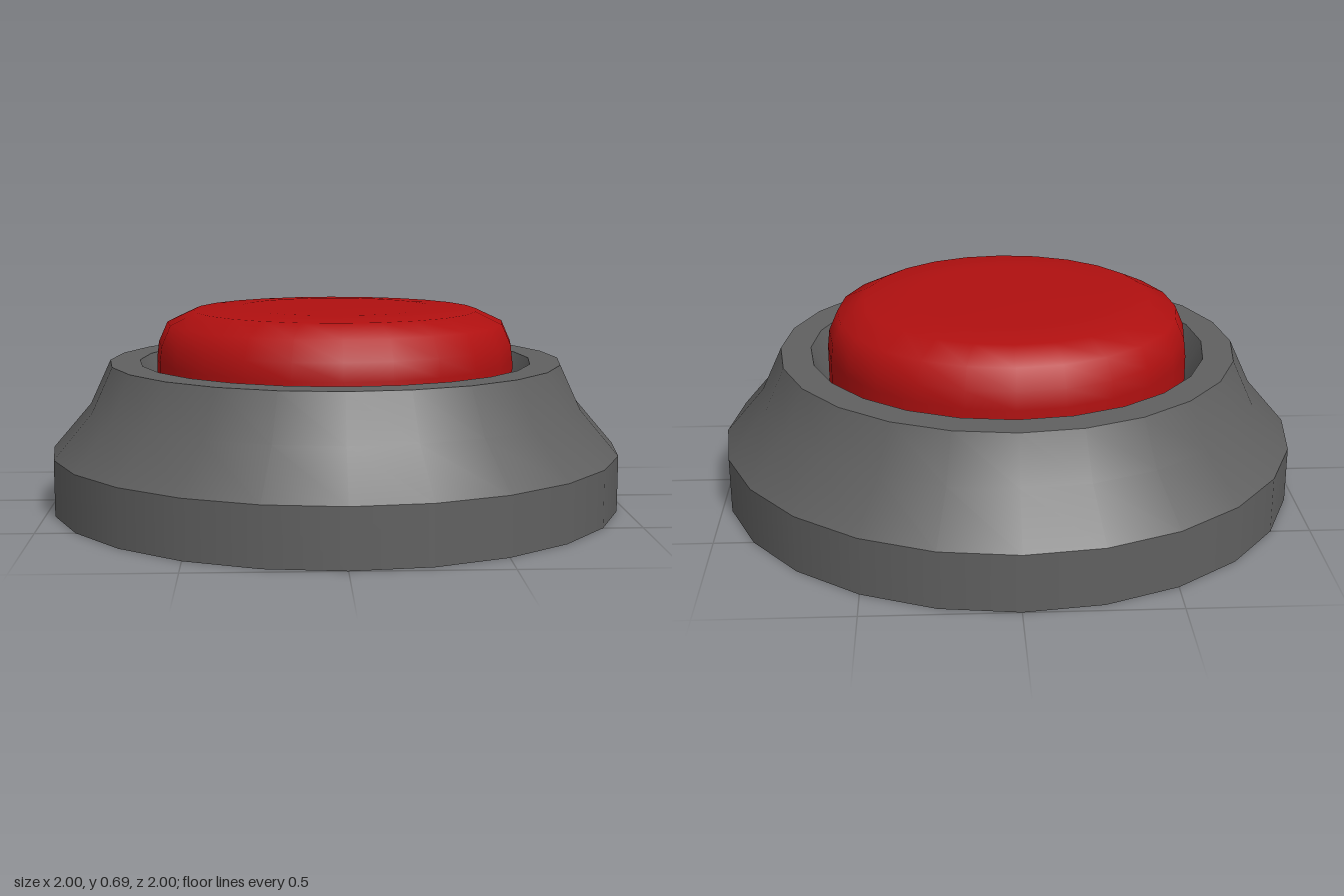
import * as THREE from 'three';

const SIDES = 24;

// Smooth surface of revolution from [radius, height] pairs
function turned(name, profile, material) {
  const points = profile.map(([r, y]) => new THREE.Vector2(r, y));
  const mesh = new THREE.Mesh(new THREE.LatheGeometry(points, SIDES), material);
  mesh.name = name;
  return mesh;
}

export function createModel() {
  const model = new THREE.Group();
  model.name = 'pushButton';
  const grey = new THREE.MeshStandardMaterial({ color: 0x606060, side: THREE.DoubleSide });
  const red = new THREE.MeshStandardMaterial({ color: 0xb01010, side: THREE.DoubleSide });

  // Hollow housing, open underneath; separate bands keep the edges sharp
  const housing = new THREE.Group();
  housing.name = 'housing';
  housing.add(
    turned('baseBand', [[1, 0], [1, 0.195]], grey),
    turned('slopedCollar', [[1, 0.195], [0.867, 0.35], [0.795, 0.505]], grey),
    turned('topRim', [[0.795, 0.505], [0.69, 0.505]], grey),
    turned('innerWall', [[0.69, 0.505], [0.617, 0.355]], grey),
  );

  // Hollow red cap with a rounded shoulder and nearly flat top
  const cap = turned('buttonCap', [
    [0.63, 0.257], [0.63, 0.51], [0.623, 0.57], [0.592, 0.64],
    [0.5, 0.683], [0.34, 0.692], [0, 0.693],
  ], red);

  model.add(housing, cap);
  return model;
}
